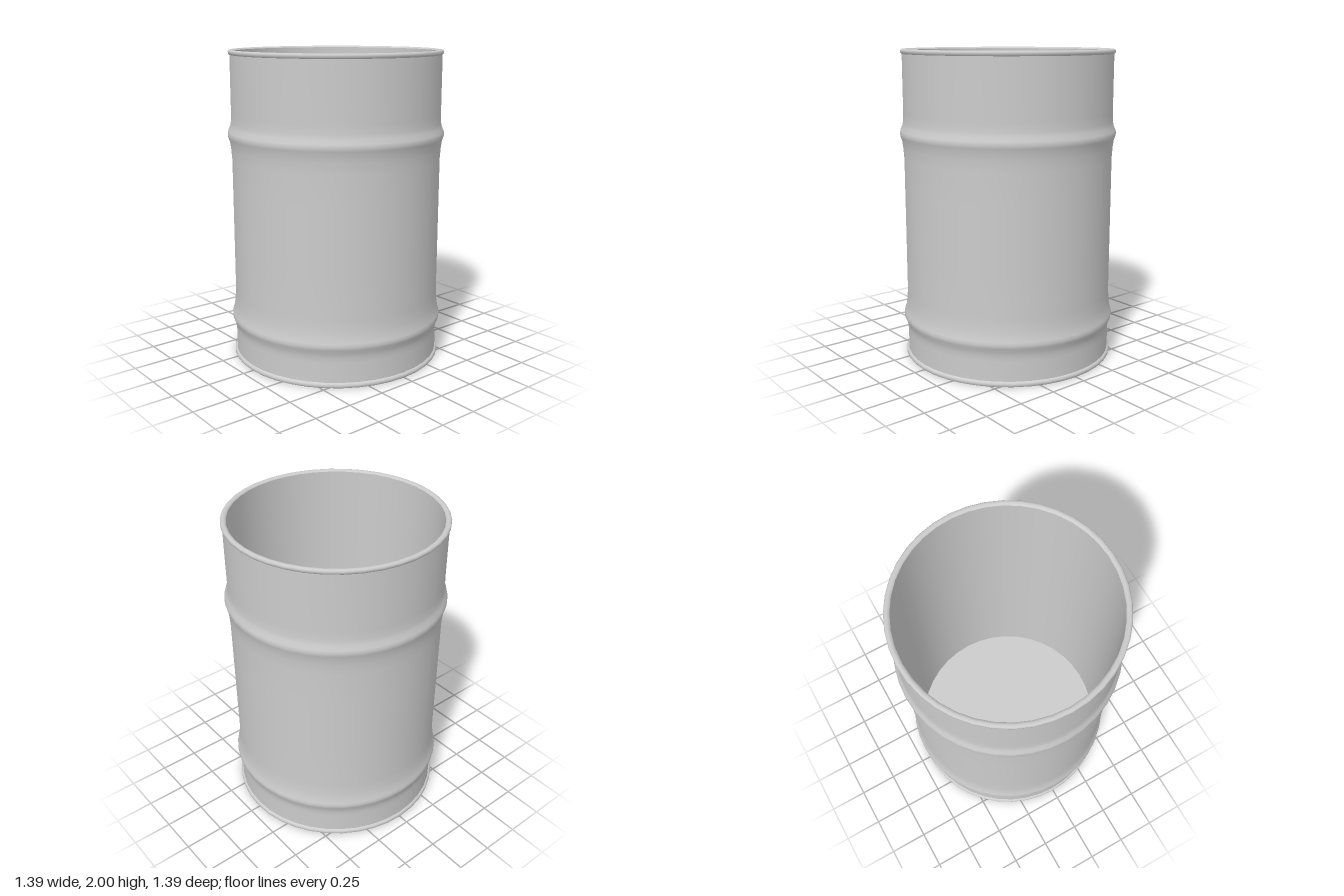
import * as THREE from 'three';

const SIDES = 40;
const BODY = 0.673;   // outer wall radius
const INNER = 0.647;  // inner wall radius
const FLOOR = 0.03;   // height of the inside floor

export function createModel() {
  const drum = new THREE.Group();
  drum.name = 'openDrum';
  const material = new THREE.MeshStandardMaterial({ color: 0xcccccc });

  // Profiles run bottom to top on the outside, top to bottom on the inside.
  const turn = (name, profile) => {
    const points = profile.map(([r, y]) => new THREE.Vector2(r, y));
    const mesh = new THREE.Mesh(new THREE.LatheGeometry(points, SIDES), material);
    mesh.name = name;
    drum.add(mesh);
  };

  // Rolling hoop: short flank toward the near end, longer one toward the middle.
  // side = 1 has its near end below, side = -1 above.
  const hoop = (y, side) => {
    const rows = [[-0.075, 0.002], [-0.045, 0.008], [-0.02, 0.02], [0, 0.024],
      [0.02, 0.02], [0.045, 0.011], [0.09, 0.005], [0.16, 0]]
      .map(([dy, dr]) => [BODY + dr, y + dy * side]);
    return side > 0 ? rows : rows.reverse();
  };

  // Outer wall with its two hoops
  turn('outerWall', [[BODY, 0.03], [BODY, 0.16], ...hoop(0.268, 1),
    [BODY, 0.7], [BODY, 1.1], ...hoop(1.472, -1), [BODY, 1.6], [BODY, 1.975]]);

  // Bottom lip and underside
  turn('bottomLip', [[0.68, 0], [0.686, 0.006], [0.687, 0.018], [0.682, 0.027], [BODY, 0.032]]);
  turn('underside', [[0, 0], [0.68, 0]]);

  // Rolled top rim
  turn('topRim', [[BODY, 1.97], [0.681, 1.978], [0.682, 1.99], [0.676, 1.998],
    [0.664, 2], [0.653, 1.997], [INNER, 1.99]]);

  // Hollow inside
  turn('innerWall', [[INNER, 1.99], [INNER, FLOOR]]);
  turn('floor', [[INNER, FLOOR], [0, FLOOR]]);

  return drum;
}
